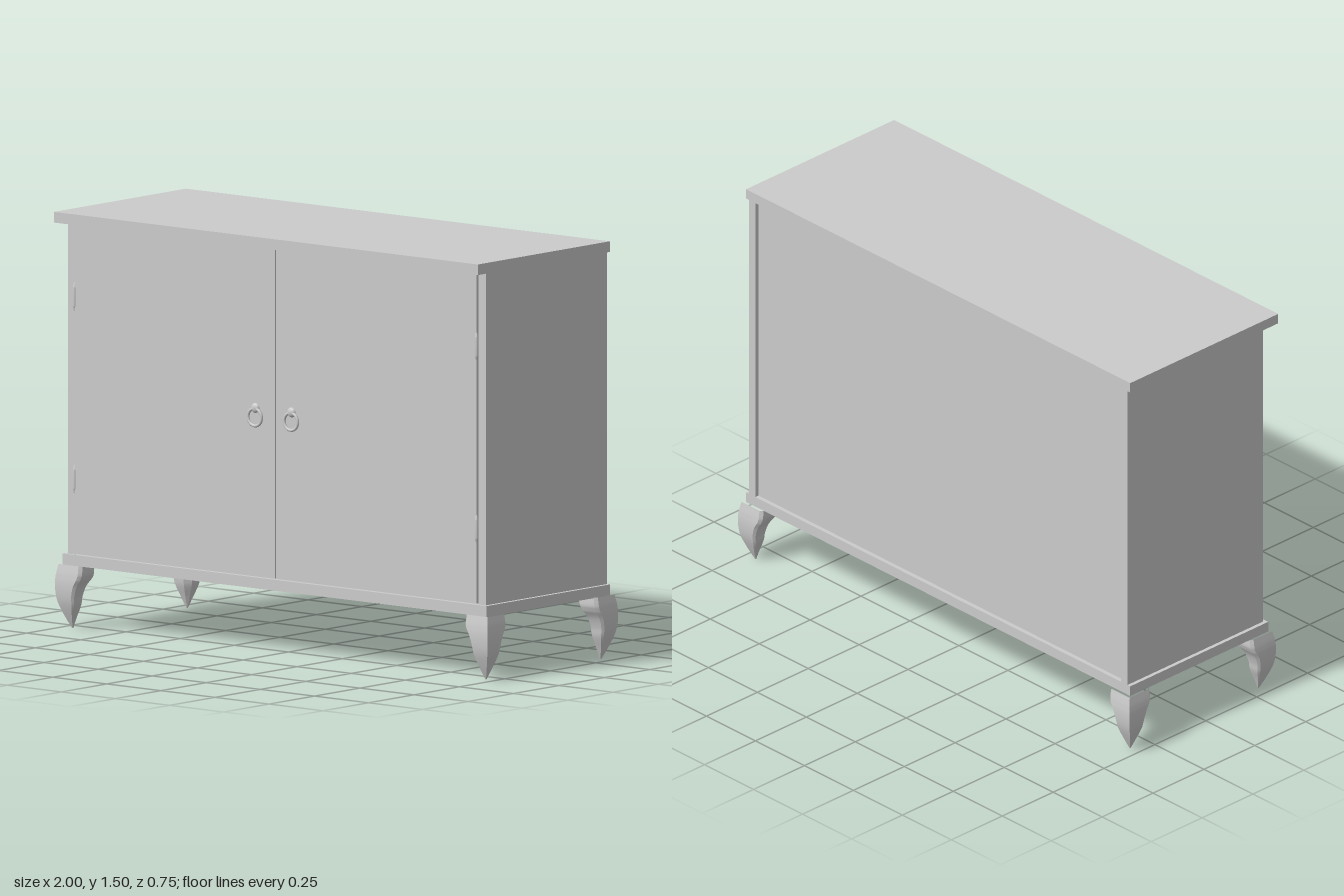
import * as THREE from 'three';
import { toCreasedNormals } from 'three/addons/utils/BufferGeometryUtils.js';

const material = new THREE.MeshStandardMaterial({ color: 0xcccccc });

function add(parent, name, geometry, x = 0, y = 0, z = 0) {
  const mesh = new THREE.Mesh(geometry, material);
  mesh.name = name;
  mesh.position.set(x, y, z);
  parent.add(mesh);
  return mesh;
}

// Board given by its extents on each axis
function board(parent, name, [x0, x1], [y0, y1], [z0, z1]) {
  return add(parent, name, new THREE.BoxGeometry(x1 - x0, y1 - y0, z1 - z0),
    (x0 + x1) / 2, (y0 + y1) / 2, (z0 + z1) / 2);
}

// Curved foot: square sections whose outer corner swells, tapering to a point
function footGeometry() {
  // each entry: inner edge, height, outer edge, measured from the tip
  const curve = new THREE.CatmullRomCurve3([
    [-0.067, 0.23, 0.036], [-0.067, 0.19, 0.043], [-0.047, 0.154, 0.045],
    [-0.035, 0.115, 0.042], [-0.031, 0.087, 0.036], [-0.015, 0.04, 0.019], [-0.002, 0, 0.002],
  ].map((p) => new THREE.Vector3(...p)));
  const rows = 24, sides = 7, positions = [], index = [];
  for (let j = 0; j <= rows; j++) {
    const { x: n, y, z: o } = curve.getPoint(j / rows);
    const r = 0.1 * (o - n), c = 0.3 * (o - n);
    const ring = [[o, o], [o, n + r], [o - r, n], [n + c, n], [n, n + c], [n, o - r], [n + r, o]];
    for (const [x, z] of ring) positions.push(x, y, z);
  }
  for (let j = 0; j < rows; j++) {
    for (let i = 0; i < sides; i++) {
      const a = j * sides + i, b = j * sides + (i + 1) % sides;
      index.push(a, a + sides, b, b, a + sides, b + sides);
    }
  }
  // close the tip
  for (let i = 1; i < sides - 1; i++) index.push(rows * sides, rows * sides + i + 1, rows * sides + i);
  const geometry = new THREE.BufferGeometry();
  geometry.setAttribute('position', new THREE.Float32BufferAttribute(positions, 3));
  geometry.setIndex(index);
  return toCreasedNormals(geometry, 0.6);
}

export function createModel() {
  const model = new THREE.Group();
  model.name = 'cabinet';

  // Carcass
  board(model, 'top', [-0.98, 0.98], [1.457, 1.495], [-0.352, 0.375]);
  board(model, 'base', [-0.98, 0.98], [0.228, 0.267], [-0.352, 0.326]);
  board(model, 'rightSide', [-0.966, -0.933], [0.267, 1.457], [-0.352, 0.314]);
  board(model, 'leftSide', [0.933, 0.966], [0.267, 1.457], [-0.352, 0.314]);
  board(model, 'backPanel', [-0.933, 0.933], [0.267, 1.457], [-0.336, -0.322]);

  // Doors with a narrow seam between them
  board(model, 'rightDoor', [-0.929, -0.002], [0.27, 1.454], [0.292, 0.322]);
  board(model, 'leftDoor', [0.002, 0.929], [0.27, 1.454], [0.292, 0.322]);

  // Spindle hinges
  const hinge = new THREE.LatheGeometry([
    [0, -0.054], [0.004, -0.047], [0.005, -0.036], [0.0075, -0.033],
    [0.0075, 0.033], [0.005, 0.036], [0.004, 0.047], [0, 0.054],
  ].map((p) => new THREE.Vector2(...p)), 16);
  for (const x of [-0.931, 0.927]) {
    for (const y of [0.537, 1.19]) add(model, 'hinge', hinge, x, y, 0.319);
  }

  // Ring pulls hanging from knobs
  const ring = new THREE.TorusGeometry(0.031, 0.0055, 12, 40);
  const knob = new THREE.SphereGeometry(0.018, 20, 12).scale(1, 1, 0.6);
  for (const x of [-0.092, 0.075]) {
    const pull = new THREE.Group();
    pull.name = 'ringPull';
    pull.position.set(x, 0, 0.322);
    model.add(pull);
    add(pull, 'ring', ring, 0, 0.84, 0.004);
    add(pull, 'knob', knob, 0, 0.873, 0);
  }

  // Four feet, each turned so its swelling corner points outward
  const foot = footGeometry();
  [[0.955, 0.3], [0.955, -0.329], [-0.955, -0.329], [-0.955, 0.3]].forEach(([x, z], i) => {
    add(model, 'foot', foot, x, 0, z).rotation.y = i * Math.PI / 2;
  });

  return model;
}
